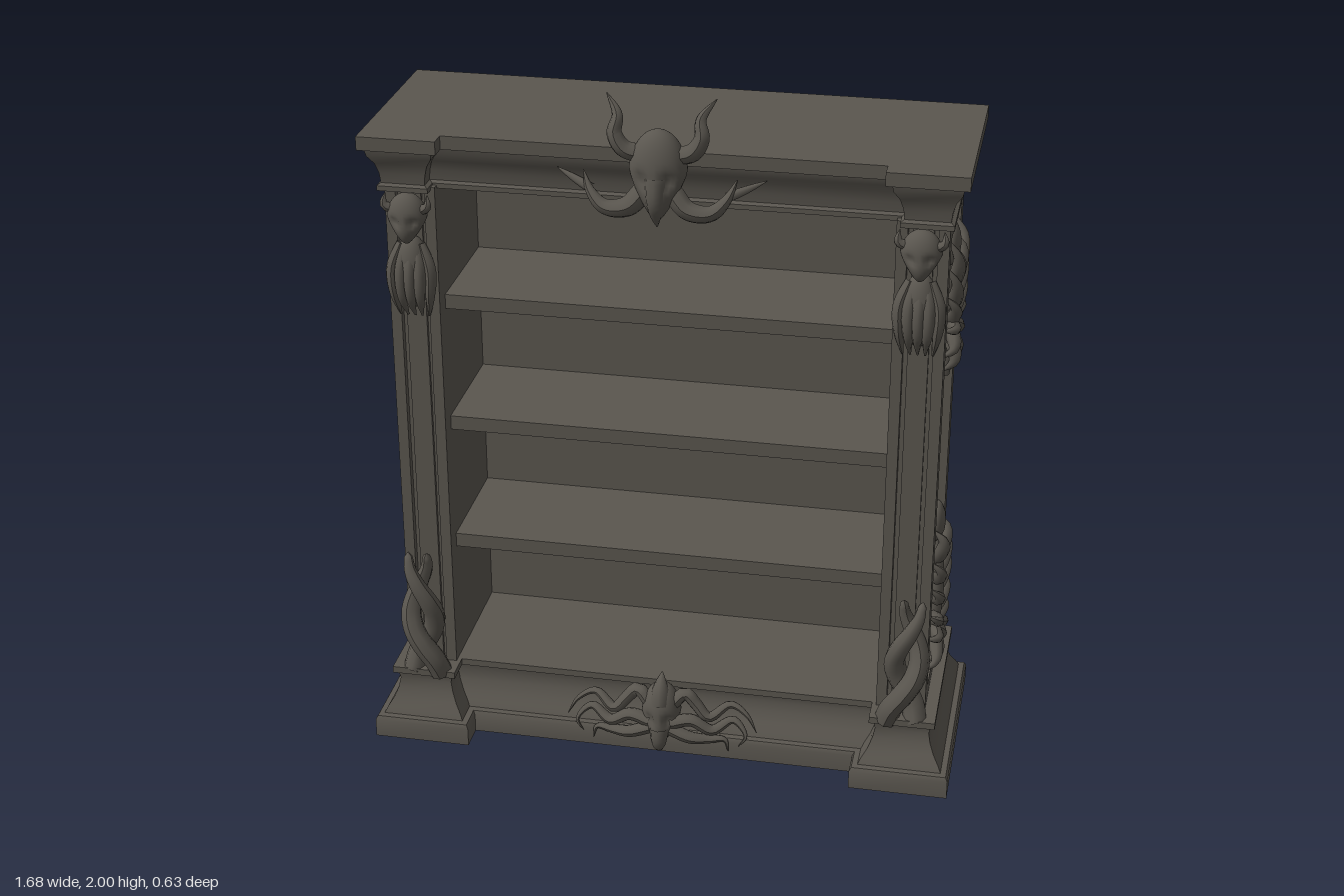
import * as THREE from 'three';
import { toCreasedNormals } from 'three/addons/utils/BufferGeometryUtils.js';

const wood = new THREE.MeshStandardMaterial({ color: 0x5a564f });
wood.name = 'dark wood';

function add(parent, geometry, name) {
  const mesh = new THREE.Mesh(geometry, wood);
  mesh.name = name;
  parent.add(mesh);
  return mesh;
}

// Box given by its limits; side mirrors it in x.
function box(parent, name, x0, x1, y0, y1, z0, z1, side = 1) {
  const mesh = add(parent, new THREE.BoxGeometry(x1 - x0, y1 - y0, z1 - z0), name);
  mesh.position.set(side * (x0 + x1) / 2, (y0 + y1) / 2, (z0 + z1) / 2);
}

// Stepped plan swept with a profile of [offset, height] pairs.
function moulding(parent, name, plan, profile) {
  const group = new THREE.Group();
  group.name = name;
  const n = plan.length;
  const normal = (i) => {
    const a = plan[(i + n) % n], b = plan[(i + 1) % n];
    const dx = b[0] - a[0], dz = b[1] - a[1], l = Math.hypot(dx, dz);
    return [-dz / l, dx / l];
  };
  const ring = (d) => plan.map((p, i) => {
    const a = normal(i - 1), b = normal(i);
    return [p[0] + d * (a[0] + b[0]), p[1] + d * (a[1] + b[1])];
  });
  const pos = [];
  for (let j = 0; j < profile.length - 1; j++) {
    const [d0, y0] = profile[j], [d1, y1] = profile[j + 1];
    const lo = ring(d0), hi = ring(d1);
    for (let i = 0; i < n; i++) {
      const k = (i + 1) % n;
      const a = [lo[i][0], y0, lo[i][1]], b = [lo[k][0], y0, lo[k][1]];
      const c = [hi[k][0], y1, hi[k][1]], d = [hi[i][0], y1, hi[i][1]];
      pos.push(...a, ...b, ...c, ...a, ...c, ...d);
    }
  }
  const g = new THREE.BufferGeometry();
  g.setAttribute('position', new THREE.Float32BufferAttribute(pos, 3));
  add(group, toCreasedNormals(g, 0.6), name + ' sides');
  // Flat caps above and below
  for (const up of [1, -1]) {
    const [d, y] = up > 0 ? profile[profile.length - 1] : profile[0];
    const shape = new THREE.Shape(ring(d).map(([x, z]) => new THREE.Vector2(x, -up * z)));
    const cap = new THREE.ShapeGeometry(shape).rotateX(-up * Math.PI / 2).translate(0, y, 0);
    add(group, cap, name + (up > 0 ? ' top' : ' underside'));
  }
  parent.add(group);
}

// Tube along points whose radius follows radius(t).
function taper(parent, name, points, radius, segments = 18) {
  const curve = new THREE.CatmullRomCurve3(points.map((p) => new THREE.Vector3(...p)));
  const sides = 8;
  const g = new THREE.TubeGeometry(curve, segments, 1, sides);
  const p = g.attributes.position, v = new THREE.Vector3();
  for (let i = 0; i < p.count; i++) {
    const t = Math.floor(i / (sides + 1)) / segments;
    const c = curve.getPointAt(t);
    v.fromBufferAttribute(p, i).sub(c).multiplyScalar(radius(t)).add(c);
    p.setXYZ(i, v.x, v.y, v.z);
  }
  g.computeVertexNormals();
  return add(parent, g, name);
}
const horn = (r) => (t) => r * (1 - 0.95 * t * t);
const leaf = (r) => (t) => r * (0.15 + 0.85 * Math.sin(Math.PI * Math.min(1, 0.2 + 0.8 * t)));

// Skull narrowing to a snout, with hollow eyes.
function skull(parent, name, x, y, z, w, h, d) {
  const g = new THREE.SphereGeometry(1, 32, 24);
  const p = g.attributes.position;
  for (let i = 0; i < p.count; i++) {
    const px = p.getX(i), py = p.getY(i), pz = p.getZ(i);
    const f = py > 0.1 ? 1 : 1 + 0.5 * (py - 0.1);
    const eye = pz > 0 ? Math.exp(-((Math.abs(px) - 0.48) ** 2 + (py + 0.05) ** 2) / 0.03) : 0;
    p.setXYZ(i, px * f * w, py * h, (pz * (1 - 0.35 * eye) + (py < 0 ? -0.25 * py : 0)) * d);
  }
  g.computeVertexNormals();
  add(parent, g, name).position.set(x, y, z);
}

// Acanthus spray in its own plane: stem plus mirrored leaves [startY, tipX, tipY].
function spray(parent, name, side, y, rows, stem) {
  const group = new THREE.Group();
  group.name = name;
  taper(group, 'stem', [[0, stem[0], 0.01], [0, (stem[0] + stem[1]) / 2, 0.022], [0, stem[1], 0.01]], leaf(0.022));
  for (const [y0, tx, ty] of rows) for (const s of [-1, 1]) {
    const dy = ty - y0;
    taper(group, 'leaf', [[0, y0, 0.01], [s * tx * 0.45, y0 + dy * 0.3, 0.03],
      [s * tx * 0.88, y0 + dy * 0.72, 0.038], [s * tx, ty, 0.012]], leaf(0.021), 12);
  }
  group.position.set(side * 0.737, y, -0.02);
  group.rotation.y = side * Math.PI / 2;
  parent.add(group);
}

export function createModel() {
  const model = new THREE.Group();
  model.name = 'bookcase';

  // Plinth and cornice
  const X = 0.76, I = 0.643;
  moulding(model, 'plinth',
    [[-X, -0.235], [-X, 0.235], [-I, 0.235], [-I, 0.155], [I, 0.155], [I, 0.235], [X, 0.235], [X, -0.235],
      [I, -0.235], [I, -0.222], [-I, -0.222], [-I, -0.235]],
    [[0.082, 0], [0.082, 0.055], [0.076, 0.066], [0.06, 0.068], [0.052, 0.085], [0.036, 0.11], [0.024, 0.14],
      [0.018, 0.17], [0.022, 0.19], [0.035, 0.195], [0.035, 0.215]]);
  moulding(model, 'cornice',
    [[-X, -0.253], [-X, 0.22], [-I, 0.22], [-I, 0.172], [I, 0.172], [I, 0.22], [X, 0.22], [X, -0.253]],
    [[0, 1.69], [0.012, 1.692], [0.012, 1.706], [0.002, 1.712], [0.005, 1.74], [0.014, 1.77], [0.03, 1.795],
      [0.034, 1.815], [0.05, 1.817], [0.05, 1.855]]);

  // Back and shelves
  box(model, 'back panel', -0.63, 0.63, 0.2, 1.7, -0.235, -0.2);
  for (const y of [0.573, 0.952, 1.325]) box(model, 'shelf', -0.63, 0.63, y, y + 0.042, -0.21, 0.15);

  for (const s of [-1, 1]) {
    const wall = new THREE.Group();
    wall.name = s > 0 ? 'left side' : 'right side';
    model.add(wall);

    // Wall with framed side panel
    box(wall, 'wall', 0.62, 0.737, 0.2, 1.7, -0.235, 0.182, s);
    box(wall, 'side rail', 0.737, 0.76, 0.2, 0.26, -0.235, 0.182, s);
    box(wall, 'side rail', 0.737, 0.76, 1.635, 1.7, -0.235, 0.182, s);
    box(wall, 'side stile', 0.737, 0.76, 0.26, 1.635, -0.235, -0.175, s);
    box(wall, 'side stile', 0.737, 0.76, 0.26, 1.635, 0.145, 0.182, s);

    // Framed pilaster face
    box(wall, 'pilaster edge', 0.62, 0.65, 0.2, 1.7, 0.182, 0.203, s);
    box(wall, 'pilaster edge', 0.73, 0.76, 0.2, 1.7, 0.182, 0.203, s);
    box(wall, 'pilaster fillet', 0.662, 0.718, 0.2, 1.7, 0.182, 0.193, s);

    // Leaf sprays on the side
    spray(wall, 'upper leaves', s, 1.4, [[0.02, 0.095, 0.2], [-0.04, 0.115, 0.13], [-0.07, 0.12, 0.05],
      [0.03, 0.045, 0.17], [-0.06, 0.115, -0.05], [-0.07, 0.085, -0.14], [-0.1, 0.04, -0.2]], [-0.23, 0.12]);
    spray(wall, 'lower leaves', s, 0.5, [[0.08, 0.05, 0.2], [0.02, 0.11, 0.13], [-0.04, 0.135, 0.06],
      [-0.1, 0.135, -0.03], [-0.13, 0.125, -0.11], [-0.13, 0.13, -0.21], [-0.14, 0.06, -0.22]], [-0.2, 0.24]);
    for (const y of [1.56, 0.71]) {
      const bud = add(wall, new THREE.OctahedronGeometry(1, 2), 'bud');
      bud.scale.set(0.025, 0.065, 0.04);
      bud.position.set(s * 0.75, y, -0.02);
    }

    // Carved head on the pilaster
    skull(wall, 'pilaster skull', s * 0.69, 1.622, 0.232, 0.056, 0.07, 0.045);
    for (const e of [-1, 1]) taper(wall, 'small horn', [[s * 0.69 + e * 0.035, 1.645, 0.235],
      [s * 0.69 + e * 0.06, 1.66, 0.245], [s * 0.69 + e * 0.058, 1.69, 0.235]], horn(0.015), 8);
    const chest = add(wall, new THREE.SphereGeometry(1, 20, 14), 'chest');
    chest.scale.set(0.05, 0.105, 0.045);
    chest.position.set(s * 0.69, 1.455, 0.205);
    for (let k = -2; k <= 2; k++) taper(wall, 'beard strand', [[s * 0.69 + k * 0.014, 1.54, 0.21],
      [s * 0.69 + k * 0.026, 1.47, 0.238 - 0.004 * k * k], [s * 0.69 + k * 0.025, 1.39, 0.24 - 0.004 * k * k],
      [s * 0.69 + k * 0.02, 1.325, 0.205]], leaf(0.018));

    // Two entwined tentacles at the foot
    for (const e of [-1, 1]) {
      const pts = [];
      for (let i = 0; i <= 8; i++) {
        const t = i / 8, a = e * Math.PI / 2 + t * Math.PI * 2;
        pts.push([s * (0.695 + 0.02 * t + 0.042 * (1 - 0.35 * t) * Math.sin(a)), 0.2 + 0.385 * t,
          0.245 - 0.015 * t + 0.022 * Math.cos(a)]);
      }
      taper(wall, 'tentacle', pts, (t) => 0.033 * (1 - 0.7 * t ** 3) * (t === 1 ? 0.1 : 1), 32);
    }
  }

  // Horned crest on the cornice
  const crest = new THREE.Group();
  crest.name = 'crest';
  model.add(crest);
  skull(crest, 'crest skull', 0, 1.8, 0.245, 0.078, 0.122, 0.06);
  taper(crest, 'snout', [[0, 1.8, 0.28], [0, 1.73, 0.292], [0, 1.66, 0.265]], horn(0.03), 10);
  // Lower ornament on the plinth
  const foot = new THREE.Group();
  foot.name = 'plinth ornament';
  model.add(foot);
  skull(foot, 'plinth skull', 0, 0.13, 0.225, 0.058, 0.1, 0.055);
  taper(foot, 'brow spike', [[0, 0.17, 0.25], [0, 0.22, 0.24], [0, 0.26, 0.215]], horn(0.03), 8);
  taper(foot, 'chin', [[0, 0.1, 0.265], [0, 0.05, 0.27], [0, 0.01, 0.245]], horn(0.028), 8);

  for (const s of [-1, 1]) {
    taper(crest, 'upper horn', [[s * 0.04, 1.85, 0.24], [s * 0.09, 1.865, 0.25], [s * 0.115, 1.905, 0.25],
      [s * 0.11, 1.95, 0.235], [s * 0.145, 1.997, 0.2]], horn(0.026), 24);
    taper(crest, 'lower horn', [[s * 0.04, 1.75, 0.25], [s * 0.08, 1.71, 0.262], [s * 0.14, 1.705, 0.262],
      [s * 0.18, 1.74, 0.25], [s * 0.205, 1.79, 0.225]], horn(0.029), 24);
    taper(crest, 'ridge', [[s * 0.18, 1.745, 0.24], [s * 0.22, 1.76, 0.225], [s * 0.28, 1.785, 0.205]], horn(0.014), 10);
    taper(foot, 'upper scroll', [[s * 0.03, 0.16, 0.235], [s * 0.07, 0.2, 0.225], [s * 0.1, 0.17, 0.225],
      [s * 0.14, 0.13, 0.23], [s * 0.2, 0.165, 0.205], [s * 0.25, 0.14, 0.215], [s * 0.28, 0.09, 0.225]], horn(0.02), 28);
    taper(foot, 'middle scroll', [[s * 0.03, 0.11, 0.25], [s * 0.09, 0.12, 0.24], [s * 0.15, 0.09, 0.235],
      [s * 0.21, 0.12, 0.215], [s * 0.25, 0.08, 0.235], [s * 0.23, 0.05, 0.245]], horn(0.02), 28);
    taper(foot, 'lower scroll', [[s * 0.03, 0.09, 0.25], [s * 0.09, 0.07, 0.255], [s * 0.14, 0.065, 0.245],
      [s * 0.19, 0.065, 0.24], [s * 0.2, 0.03, 0.245]], horn(0.02), 24);
  }
  return model;
}
